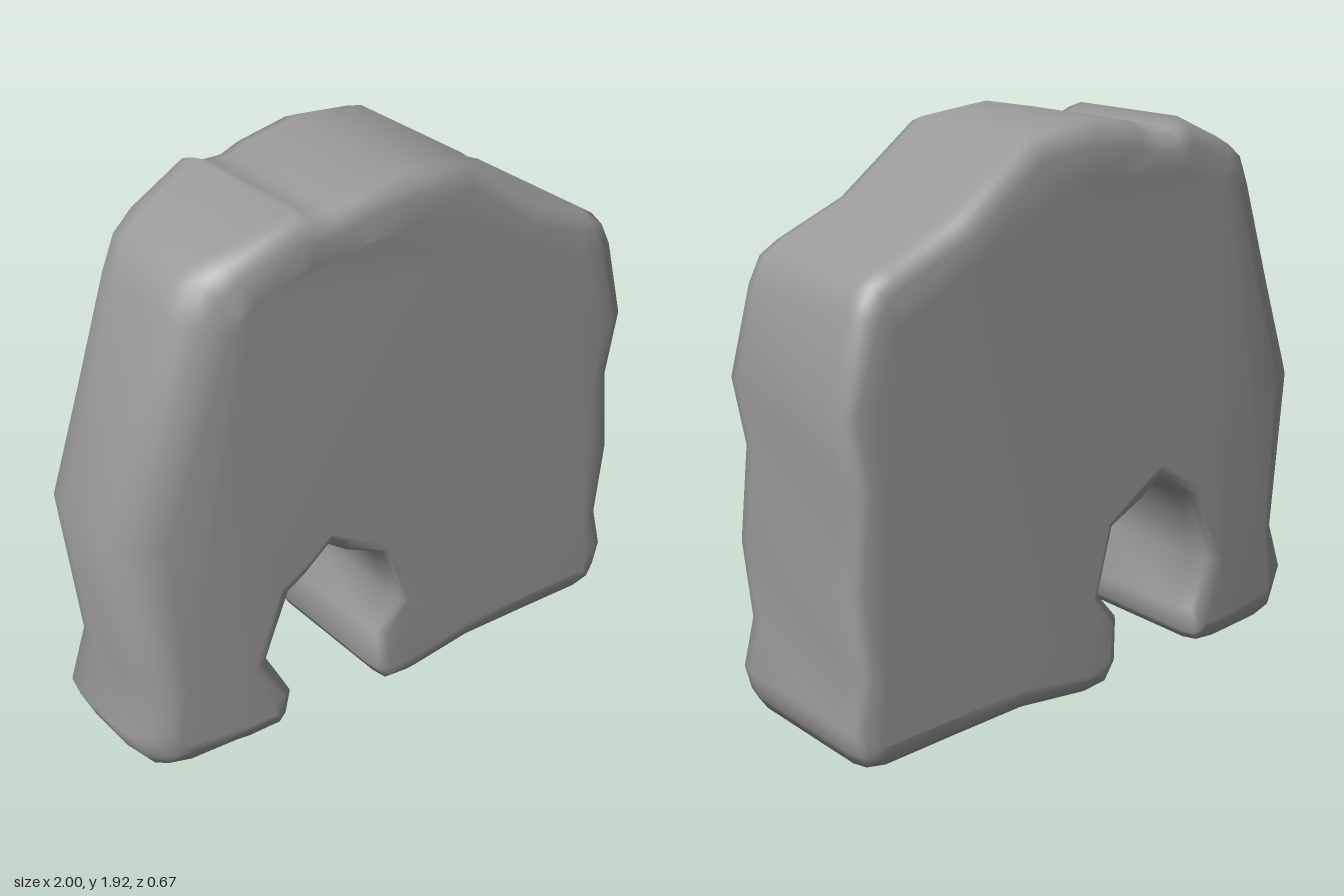
import * as THREE from 'three';

// Outline seen from the front, anticlockwise: x, y, width of the rounded rim
const OUTLINE = [
  [-0.9, 0.03, 0.09], [-0.8, 0, 0.1], [-0.565, 0.025, 0.09], [-0.46, 0.05, 0.07],
  [-0.435, 0.085, 0.07], [-0.415, 0.18, 0.08], [-0.5, 0.345, 0.07], [-0.42, 0.58, 0.06],
  [-0.265, 0.69, 0.06], [-0.195, 0.64, 0.05], [-0.05, 0.575, 0.04], [0.01, 0.36, 0.04],
  [-0.075, 0.26, 0.04], [-0.075, 0.1, 0.05], [-0.03, 0.03, 0.06], [0.07, 0.02, 0.07],
  [0.34, 0.045, 0.08], [0.62, 0.03, 0.08], [0.87, 0.015, 0.08], [0.945, 0.03, 0.08],
  [0.975, 0.08, 0.08], [1, 0.17, 0.09], [0.96, 0.33, 0.09], [0.99, 0.6, 0.1],
  [0.955, 0.91, 0.09], [1, 1.14, 0.11], [0.925, 1.43, 0.13], [0.88, 1.52, 0.14],
  [0.81, 1.565, 0.14], [0.57, 1.67, 0.14], [0.29, 1.89, 0.16], [0.03, 1.92, 0.17],
  [-0.17, 1.885, 0.15], [-0.235, 1.86, 0.14], [-0.31, 1.86, 0.14], [-0.37, 1.885, 0.16],
  [-0.6, 1.795, 0.15], [-0.69, 1.74, 0.15], [-0.75, 1.63, 0.15], [-1, 0.94, 0.15],
  [-0.93, 0.38, 0.12], [-0.995, 0.2, 0.13], [-0.94, 0.08, 0.11],
];

// Half thickness along x: the body narrows towards its right side
const DEPTHS = [[-1, 0.255], [-0.86, 0.265], [-0.6, 0.297], [-0.37, 0.32], [-0.25, 0.312], [0.1, 0.333], [1, 0.333]];
function halfDepth(x) {
  for (let i = 1; i < DEPTHS.length; i++) {
    const [x0, d0] = DEPTHS[i - 1], [x1, d1] = DEPTHS[i];
    if (x <= x1) return THREE.MathUtils.mapLinear(x, x0, x1, d0, d1);
  }
  return 0.333;
}

// Rim cross-section from the face to the edge: inset, depth on crisp and on round sides
const RIM = [[1, 1, 1], [0.5, 0.98, 0.9], [0.14, 0.93, 0.69], [0, 0.74, 0.37]];
const RINGS = [...RIM.map((r) => [...r, 1]), ...RIM.slice().reverse().map((r) => [...r, -1])];

function ringPoints([inset, crisp, round, side]) {
  const n = OUTLINE.length;
  return OUTLINE.map(([x, y, width], i) => {
    const p = new THREE.Vector2(x, y);
    const a = new THREE.Vector2(...OUTLINE[(i + n - 1) % n]);
    const b = new THREE.Vector2(...OUTLINE[(i + 1) % n]);
    const t = p.clone().sub(a).normalize().add(b.sub(p).normalize()).normalize();
    const roundness = 1 - THREE.MathUtils.smoothstep(x, -0.9, -0.4);
    const depth = side * THREE.MathUtils.lerp(crisp, round, roundness);
    return [x - t.y * width * inset, y + t.x * width * inset, depth];
  });
}

// Splits every triangle in four, blending positions and normals
function subdivide(tris) {
  const mid = (a, b) => a.map((v, i) => (v + b[i]) / 2);
  return tris.flatMap(([a, b, c]) => {
    const ab = mid(a, b), bc = mid(b, c), ca = mid(c, a);
    return [[a, ab, ca], [ab, b, bc], [ca, bc, c], [ab, bc, ca]];
  });
}

function bodyGeometry() {
  const n = OUTLINE.length;
  const rings = RINGS.map(ringPoints);
  const points = rings.flat();
  const index = [];
  // Rim and edge band
  for (let k = 0; k < rings.length - 1; k++) {
    for (let i = 0; i < n; i++) {
      const a = k * n + i, b = k * n + (i + 1) % n;
      index.push(a, a + n, b, b, a + n, b + n);
    }
  }
  // Front and back faces
  const face = rings[0].map(([x, y]) => new THREE.Vector2(x, y));
  const last = (rings.length - 1) * n;
  for (const [a, b, c] of THREE.ShapeUtils.triangulateShape(face, [])) {
    index.push(a, b, c, last + a, last + c, last + b);
  }
  // Smooth normals of the coarse body
  const coarse = new THREE.BufferGeometry();
  coarse.setAttribute('position', new THREE.Float32BufferAttribute(
    points.flatMap(([x, y, f]) => [x, y, f * halfDepth(x)]), 3));
  coarse.setIndex(index);
  coarse.computeVertexNormals();
  const normal = coarse.attributes.normal;
  const verts = points.map((p, i) => [...p, normal.getX(i), normal.getY(i), normal.getZ(i)]);

  // Finer triangles follow the changing thickness
  let tris = [];
  for (let i = 0; i < index.length; i += 3) tris.push(index.slice(i, i + 3).map((j) => verts[j]));
  for (let s = 0; s < 3; s++) tris = subdivide(tris);
  const all = tris.flat();
  const geometry = new THREE.BufferGeometry();
  geometry.setAttribute('position', new THREE.Float32BufferAttribute(
    all.flatMap(([x, y, f]) => [x, y, f * halfDepth(x)]), 3));
  geometry.setAttribute('normal', new THREE.Float32BufferAttribute(all.flatMap((v) => v.slice(3)), 3));
  geometry.normalizeNormals();
  return geometry;
}

export function createModel() {
  const group = new THREE.Group();
  group.name = 'archedBlock';
  const body = new THREE.Mesh(bodyGeometry(), new THREE.MeshStandardMaterial({ color: 0x999999 }));
  body.name = 'body';
  group.add(body);
  return group;
}
